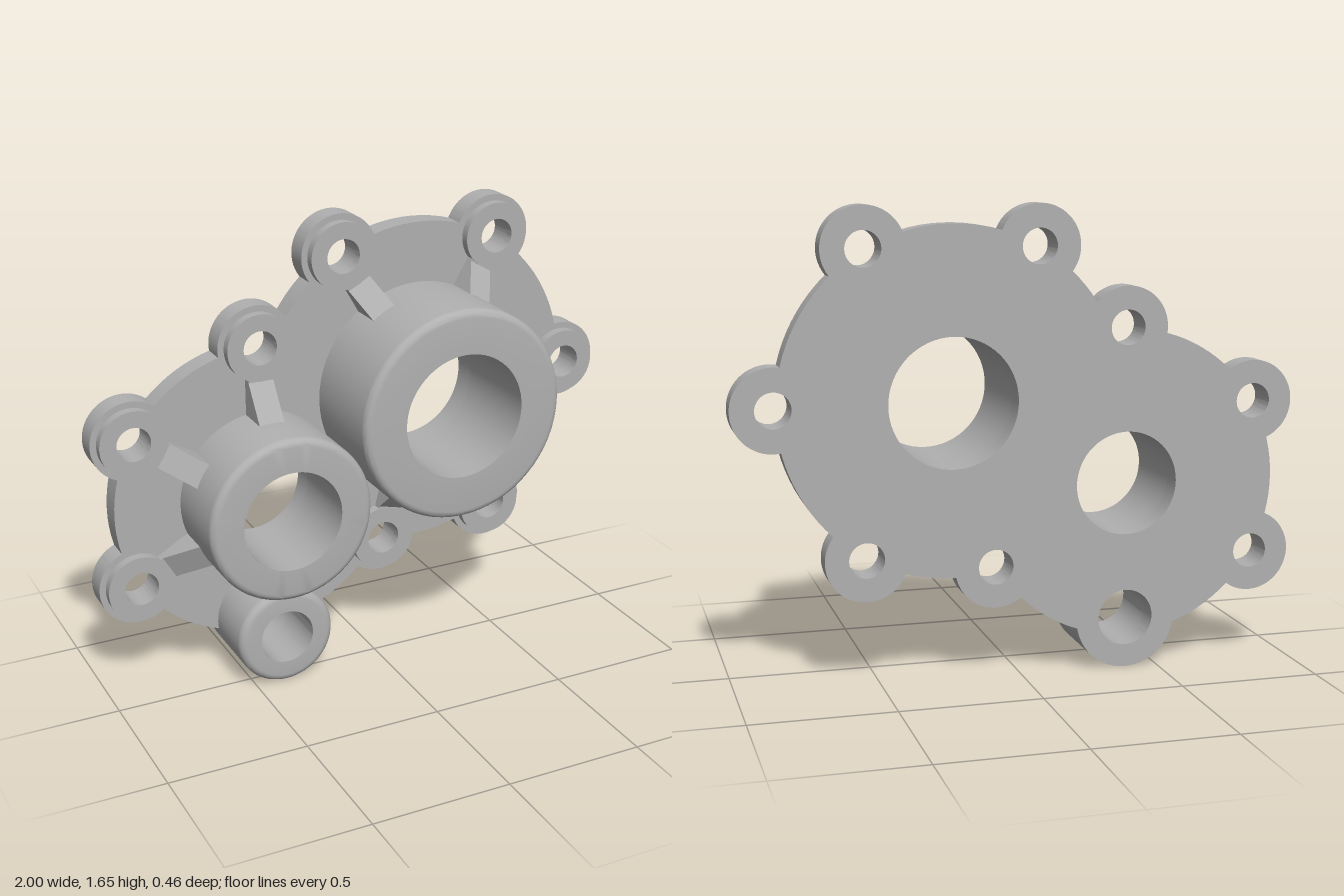
import * as THREE from 'three';
import { toCreasedNormals } from 'three/addons/utils/BufferGeometryUtils.js';

const BACK = -0.23, FACE = -0.145, PAD = -0.11, RIB_TOP = -0.02;

// Tubular bosses: centre, outer radius, bore radius, front z
const bosses = [
  { name: 'largeBoss', x: 0.24, y: 0.98, r: 0.387, bore: 0.228, z: 0.23 },
  { name: 'mediumBoss', x: -0.383, y: 0.672, r: 0.304, bore: 0.184, z: 0.152 },
  { name: 'smallBoss', x: -0.383, y: 0.185, r: 0.181, bore: 0.1, z: 0.073 },
];
const [large, medium, small] = bosses;

// Bolt lugs, each tied by ribs to one or two bosses
const LUG_R = 0.145, PAD_R = 0.122, BOLT_R = 0.062;
const lugs = [
  { x: 0.855, y: 0.98, ribs: [large] },
  { x: 0.547, y: 1.508, ribs: [large] },
  { x: -0.063, y: 1.508, ribs: [large] },
  { x: -0.383, y: 1.222, ribs: [medium] },
  { x: -0.855, y: 0.948, ribs: [medium] },
  { x: -0.855, y: 0.4, ribs: [medium] },
  { x: 0.093, y: 0.4, ribs: [medium, large] },
  { x: 0.547, y: 0.452, ribs: [large] },
];

// Walks counter-clockwise round the outside of overlapping circles
function unionOutline(circles) {
  const TAU = Math.PI * 2, points = [];
  let i = 0, angle = 0;
  for (let step = 0; step < 60; step++) {
    const c = circles[i];
    let sweep = TAU, next = -1;
    circles.forEach((o, j) => {
      const dx = o.x - c.x, dy = o.y - c.y, d = Math.hypot(dx, dy);
      if (j === i || d >= c.r + o.r || d <= Math.abs(c.r - o.r)) return;
      const half = Math.acos((d * d + c.r * c.r - o.r * o.r) / (2 * d * c.r));
      let delta = (Math.atan2(dy, dx) - half - angle) % TAU;
      if (delta < 0) delta += TAU;
      if (delta > 1e-6 && delta < sweep - 1e-9) { sweep = delta; next = j; }
    });
    const last = step > 0 && i === 0;
    if (last) sweep = ((-angle % TAU) + TAU) % TAU;
    const n = Math.max(2, Math.ceil(sweep / 0.07));
    for (let k = 0; k < n; k++) {
      const a = angle + (sweep * k) / n;
      points.push(new THREE.Vector2(c.x + c.r * Math.cos(a), c.y + c.r * Math.sin(a)));
    }
    if (last || next < 0) break;
    const end = angle + sweep, o = circles[next];
    angle = Math.atan2(c.y + c.r * Math.sin(end) - o.y, c.x + c.r * Math.cos(end) - o.x);
    i = next;
  }
  return points;
}

// Flat base plate with every bore and bolt hole cut through
function plateGeometry() {
  const shape = new THREE.Shape(unionOutline([
    ...lugs.map((l) => ({ x: l.x, y: l.y, r: LUG_R })),
    { x: large.x, y: large.y, r: 0.608 },
    { x: medium.x, y: medium.y, r: 0.546 },
    { x: small.x, y: small.y, r: small.r },
  ]));
  const hole = (x, y, r) => shape.holes.push(new THREE.Path().absarc(x, y, r, 0, Math.PI * 2, true));
  bosses.forEach((b) => hole(b.x, b.y, b.bore));
  lugs.forEach((l) => hole(l.x, l.y, BOLT_R));
  const g = new THREE.ExtrudeGeometry(shape, { depth: FACE - BACK, bevelEnabled: false, curveSegments: 32 });
  return toCreasedNormals(g.translate(0, 0, BACK), 0.5);
}

// Hollow cylinder along z with a rounded outer front edge
function ringGeometry(r, bore, z0, z1, fillet) {
  const profile = [new THREE.Vector2(r, z0)];
  const steps = fillet > 0 ? 5 : 0;
  for (let k = 0; k <= steps; k++) {
    const a = steps ? (k / steps) * Math.PI / 2 : 0;
    profile.push(new THREE.Vector2(
      r - fillet + fillet * Math.cos(a), z1 - fillet + fillet * Math.sin(a)));
  }
  profile.push(new THREE.Vector2(bore, z1), new THREE.Vector2(bore, z0));
  const g = new THREE.LatheGeometry(profile, 64).rotateX(Math.PI / 2);
  return toCreasedNormals(g, 0.5);
}

// Sloping rib from a boss wall down to a lug pad
function ribGeometry(boss, lug) {
  const dx = lug.x - boss.x, dy = lug.y - boss.y;
  const end = Math.hypot(dx, dy) - PAD_R, width = 0.093;
  const shape = new THREE.Shape([
    [boss.r - 0.02, FACE - 0.005], [end + 0.015, FACE - 0.005], [end + 0.015, PAD - 0.003],
    [end, PAD - 0.003], [boss.r - 0.005, RIB_TOP], [boss.r - 0.02, RIB_TOP],
  ].map(([x, y]) => new THREE.Vector2(x, y)));
  return new THREE.ExtrudeGeometry(shape, { depth: width, bevelEnabled: false })
    .translate(0, 0, -width / 2)
    .rotateX(Math.PI / 2)
    .rotateZ(Math.atan2(dy, dx))
    .translate(boss.x, boss.y, 0);
}

export function createModel() {
  const model = new THREE.Group();
  model.name = 'housingCover';
  const metal = new THREE.MeshStandardMaterial({ color: 0xb0b0b0 });
  metal.name = 'castGrey';

  const add = (name, geometry, x = 0, y = 0) => {
    const mesh = new THREE.Mesh(geometry, metal);
    mesh.name = name;
    mesh.position.set(x, y, 0);
    model.add(mesh);
  };

  add('basePlate', plateGeometry());
  for (const b of bosses) add(b.name, ringGeometry(b.r, b.bore, FACE, b.z, 0.028), b.x, b.y);

  const pad = ringGeometry(PAD_R, BOLT_R, FACE, PAD, 0);
  for (const l of lugs) {
    add('lugPad', pad, l.x, l.y);
    for (const b of l.ribs) add('rib', ribGeometry(b, l));
  }
  return model;
}
